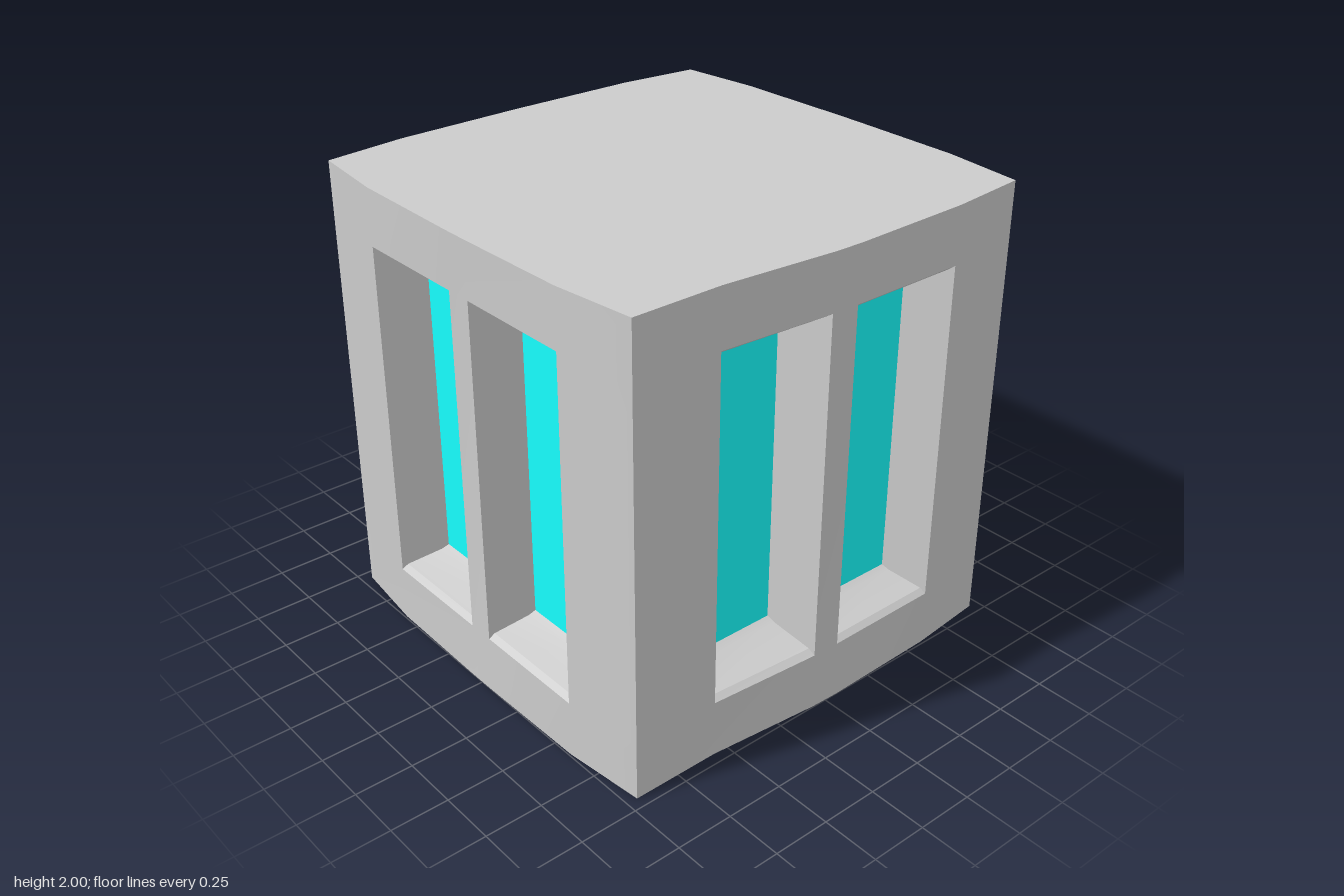
import * as THREE from 'three';
import { toCreasedNormals } from 'three/addons/utils/BufferGeometryUtils.js';

const CORNER = 0.953, HEIGHT = 2, SILL = 0.25, LINTEL = 1.755;

// A side is five flat columns, gently bowed: u runs along the wall, d is its distance outwards.
const bowed = {
  u: [-CORNER, -0.593, -0.06, 0.06, 0.593, CORNER],
  d: [CORNER, 0.992, 1, 1, 0.992, CORNER],
  panes: [[-0.537, -0.1, 0.787], [0.1, 0.537, 0.787]],
};
const front = {
  u: [-CORNER, -0.565, -0.065, 0.06, 0.593, CORNER],
  d: [CORNER, 0.953, 0.997, 1, 0.988, CORNER],
  panes: [[-0.5, -0.09, 0.74], [0.1, 0.537, 0.787]],
};
const sides = [
  { name: 'front', ...front, angle: 0 },
  { name: 'left', ...bowed, angle: Math.PI / 2 },
  { name: 'back', ...bowed, angle: Math.PI },
  { name: 'right', ...bowed, angle: -Math.PI / 2 },
];

const grey = new THREE.MeshStandardMaterial({ color: 0xcccccc });
const glass = new THREE.MeshStandardMaterial({ color: 0x18ffff });

// Corners counter-clockwise as seen from outside
function quadMesh(name, quads, material) {
  const points = quads.flatMap(([a, b, c, d]) => [a, b, c, a, c, d]).flat();
  const geometry = new THREE.BufferGeometry();
  geometry.setAttribute('position', new THREE.Float32BufferAttribute(points, 3));
  const mesh = new THREE.Mesh(toCreasedNormals(geometry, 0.3), material);
  mesh.name = name;
  return mesh;
}

// Steps of a window reveal: [part of the depth, inset of sill and lintel]
const revealSteps = [[0, 0], [0.12, 0.02], [0.85, 0.055], [1, 0.07]];

function reveal(u0, u1, d0, d1, [p0, p1, depth]) {
  const mix = THREE.MathUtils.lerp;
  const rings = revealSteps.map(([t, inset]) => {
    const a = mix(u0, p0, t), b = mix(u1, p1, t);
    const da = mix(d0, depth, t), db = mix(d1, depth, t);
    const low = SILL + inset, high = LINTEL - inset;
    return [[a, low, da], [b, low, db], [b, high, db], [a, high, da]];
  });
  const quads = [];
  for (let i = 0; i < rings.length - 1; i++) {
    for (let k = 0; k < 4; k++) {
      const n = (k + 1) % 4;
      quads.push([rings[i][k], rings[i][n], rings[i + 1][n], rings[i + 1][k]]);
    }
  }
  return { quads, pane: rings[rings.length - 1] };
}

function buildSide({ name, u, d, panes, angle }) {
  const group = new THREE.Group();
  group.name = name + 'Side';
  const rows = [0, SILL, LINTEL, HEIGHT];
  // The mullion between the windows sits slightly back
  const depth = (i, j) => d[i] - ((i === 2 || i === 3) && (j === 1 || j === 2) ? 0.008 : 0);
  const point = (i, j) => [u[i], rows[j], depth(i, j)];
  const wall = [], reveals = [], paneQuads = [];
  for (let i = 0; i < 5; i++) {
    for (let j = 0; j < 3; j++) {
      if (j === 1 && (i === 1 || i === 3)) {
        const part = reveal(u[i], u[i + 1], depth(i, 1), depth(i + 1, 1), panes[(i - 1) / 2]);
        reveals.push(...part.quads);
        paneQuads.push(part.pane);
      } else {
        wall.push([point(i, j), point(i + 1, j), point(i + 1, j + 1), point(i, j + 1)]);
      }
    }
  }
  group.add(quadMesh('wall', wall, grey));
  group.add(quadMesh('windowReveals', reveals, grey));
  paneQuads.forEach((q, k) => group.add(quadMesh('windowPane' + (k + 1), [q], glass)));
  group.rotation.y = angle;
  return group;
}

// Flat roof or floor following the bowed outline
function cap(name, y, facing) {
  const outline = sides.flatMap(({ u, d, angle }) => u.slice(0, -1).map((x, i) => {
    const p = new THREE.Vector3(x, 0, d[i]).applyAxisAngle(new THREE.Vector3(0, 1, 0), angle);
    return new THREE.Vector2(p.x, -facing * p.z);
  }));
  const geometry = new THREE.ShapeGeometry(new THREE.Shape(outline));
  geometry.rotateX(-facing * Math.PI / 2);
  const mesh = new THREE.Mesh(geometry, grey);
  mesh.name = name;
  mesh.position.y = y;
  return mesh;
}

export function createModel() {
  const model = new THREE.Group();
  model.name = 'windowedBlock';
  sides.forEach((side) => model.add(buildSide(side)));
  model.add(cap('roof', HEIGHT, 1), cap('floor', 0, -1));
  return model;
}
